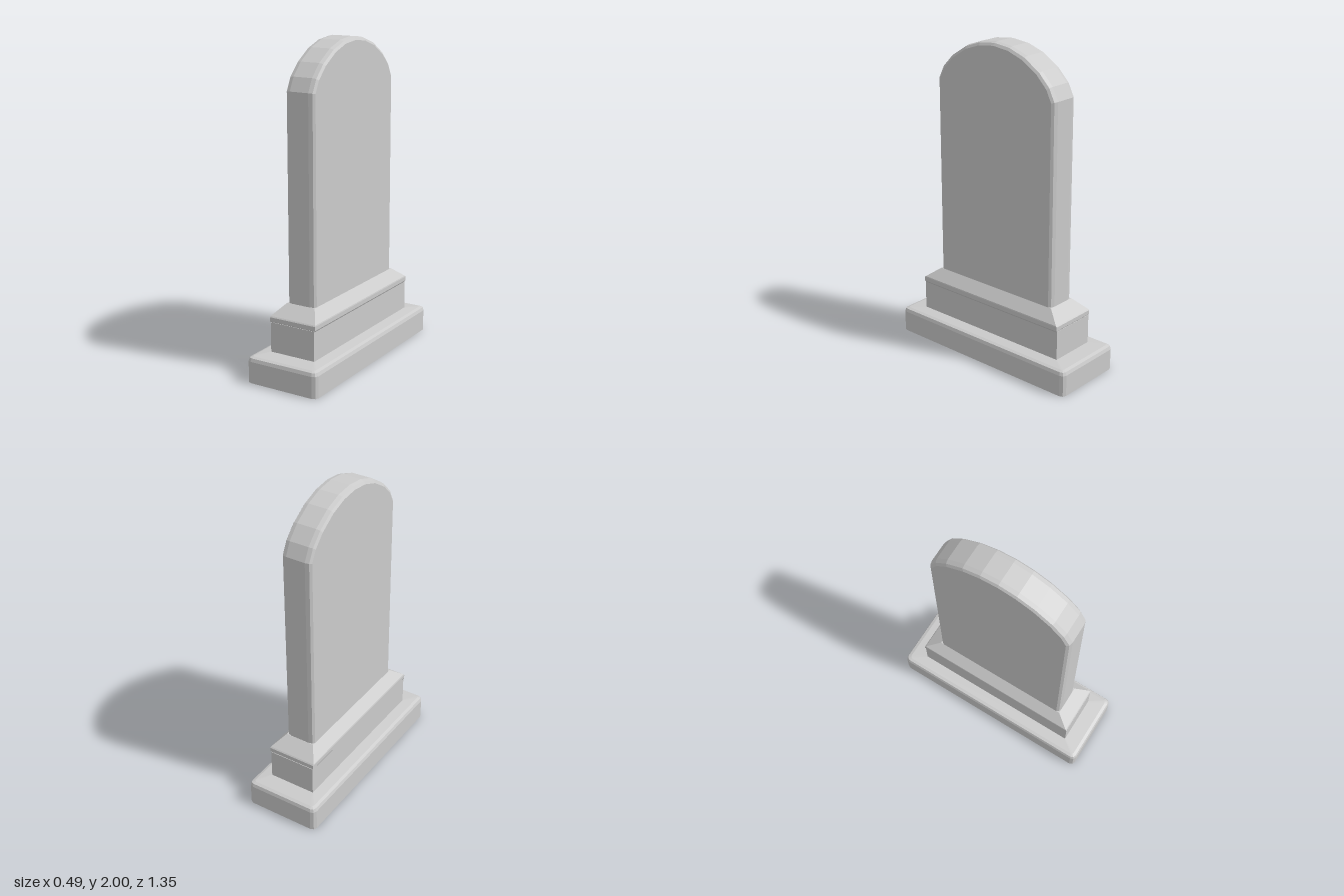
import * as THREE from 'three';

const material = new THREE.MeshStandardMaterial({ color: 0xcccccc, flatShading: true });

// Closed stack of rectangular rings, each [y, halfX, halfZ, cornerRadius]
function stack(name, rings, cornerSteps) {
  const n = 4 * (cornerSteps + 1);
  const positions = [];
  const index = [];
  for (const [y, hx, hz, r] of rings) {
    for (let c = 0; c < 4; c++) {
      const sx = c === 0 || c === 3 ? 1 : -1;
      const sz = c < 2 ? 1 : -1;
      for (let k = 0; k <= cornerSteps; k++) {
        const a = (c + (cornerSteps ? k / cornerSteps : 0.5)) * Math.PI / 2;
        const dx = cornerSteps ? r * (Math.cos(a) - sx) : 0;
        const dz = cornerSteps ? r * (Math.sin(a) - sz) : 0;
        positions.push(sx * hx + dx, y, sz * hz + dz);
      }
    }
  }
  for (let i = 0; i < rings.length - 1; i++) {
    for (let j = 0; j < n; j++) {
      const a = i * n + j, b = i * n + (j + 1) % n;
      index.push(a, a + n, b, b, a + n, b + n);
    }
  }
  // Bottom and top faces
  const top = (rings.length - 1) * n;
  for (let j = 1; j < n - 1; j++) {
    index.push(0, j, j + 1);
    index.push(top, top + j + 1, top + j);
  }
  const geometry = new THREE.BufferGeometry();
  geometry.setAttribute('position', new THREE.Float32BufferAttribute(positions, 3));
  geometry.setIndex(index);
  const flat = geometry.toNonIndexed();
  flat.computeVertexNormals();
  const mesh = new THREE.Mesh(flat, material);
  mesh.name = name;
  return mesh;
}

// Upright slab with an arched top and softened edges, thin along x
function createSlab() {
  const halfThickness = 0.097, bevel = 0.035;
  const arch = [[0.455, 1.72], [0.415, 1.8], [0.34, 1.877], [0.228, 1.948], [0.115, 1.987]];
  const outline = [
    [-0.455, 0.4], [0.455, 0.4],
    ...arch, [0, 2],
    ...arch.map(([u, y]) => [-u, y]).reverse(),
  ];
  const shape = new THREE.Shape(outline.map(([u, y]) => new THREE.Vector2(u, y)));
  const geometry = new THREE.ExtrudeGeometry(shape, {
    depth: 2 * (halfThickness - bevel),
    bevelThickness: bevel,
    bevelSize: 0.022,
    bevelOffset: -0.022,
    bevelSegments: 2,
  });
  geometry.translate(0, 0, -(halfThickness - bevel));
  geometry.rotateY(Math.PI / 2);
  const mesh = new THREE.Mesh(geometry, material);
  mesh.name = 'slab';
  return mesh;
}

export function createModel() {
  const group = new THREE.Group();
  group.name = 'headstone';

  // Wide foot with rounded corners and a gently sloping top
  group.add(stack('base', [
    [0, 0.243, 0.674, 0.03],
    [0.135, 0.243, 0.674, 0.03],
    [0.155, 0.236, 0.667, 0.025],
    [0.162, 0.218, 0.648, 0.015],
    [0.17, 0.15, 0.545, 0.005],
  ], 2));

  // Square-cornered block above the foot
  group.add(stack('plinth', [
    [0.15, 0.152, 0.549, 0],
    [0.355, 0.152, 0.549, 0],
  ], 0));

  // Moulding that tapers in to the slab
  group.add(stack('moulding', [
    [0.35, 0.152, 0.542, 0],
    [0.36, 0.158, 0.549, 0],
    [0.385, 0.158, 0.549, 0],
    [0.392, 0.156, 0.543, 0],
    [0.458, 0.097, 0.456, 0],
  ], 0));

  group.add(createSlab());
  return group;
}
